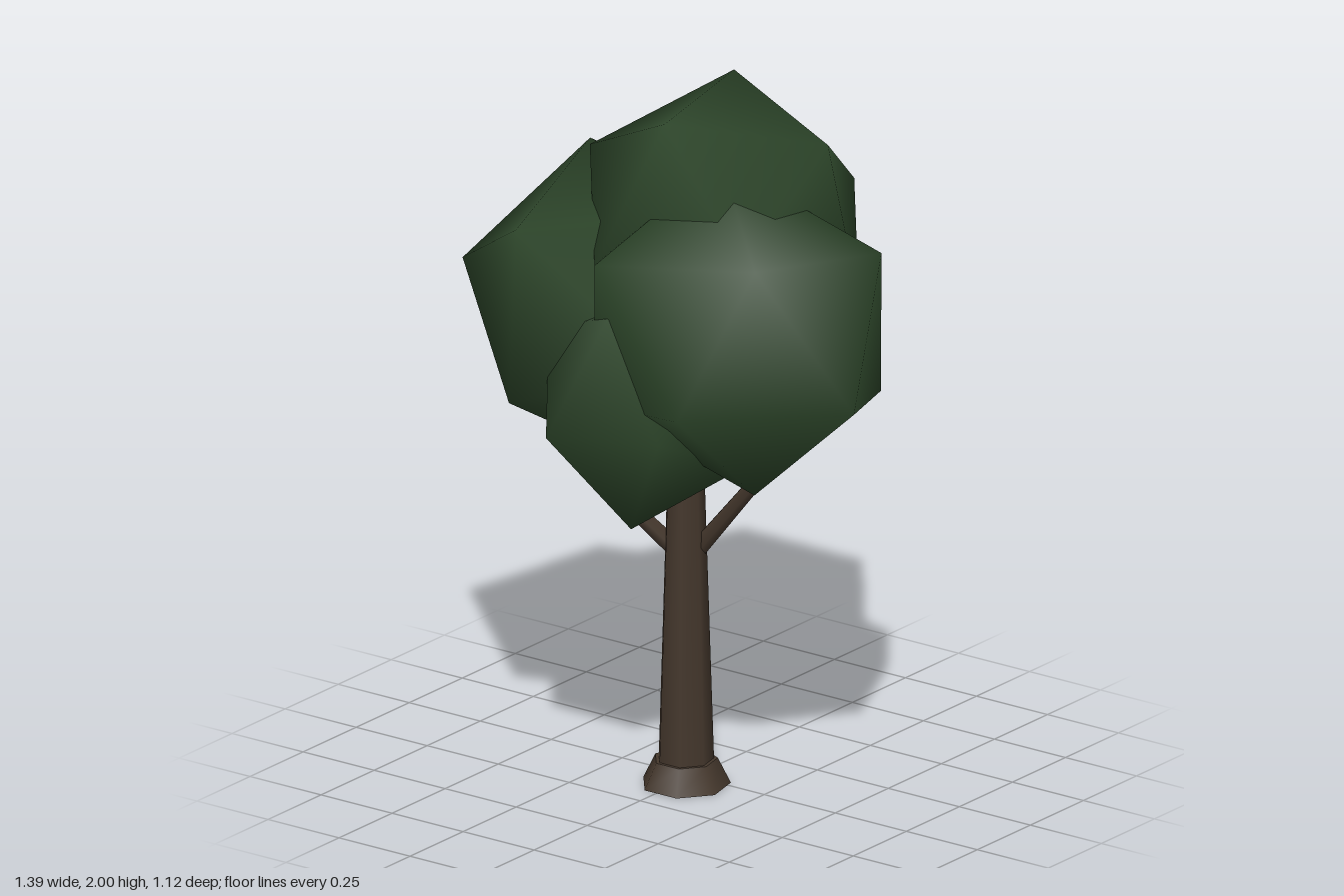
import * as THREE from 'three';
import { mergeVertices } from 'three/addons/utils/BufferGeometryUtils.js';

const bark = new THREE.MeshStandardMaterial({ color: 0x44372c });
const leaves = new THREE.MeshStandardMaterial({ color: 0x2b4328 });

const vec = (p) => new THREE.Vector3(...p);
const basis = (a, b, c) => new THREE.Matrix4().makeBasis(a, b, c);

// Low-poly leaf clump: an icosahedron stretched so that its first face
// lands on three given corners around a centre (corners anticlockwise from outside)
function leafClump(name, centre, ...corners) {
  const ico = new THREE.IcosahedronGeometry(1, 0);
  ico.deleteAttribute('normal');
  ico.deleteAttribute('uv');
  const pos = ico.attributes.position;
  const from = basis(...[0, 1, 2].map((i) => new THREE.Vector3().fromBufferAttribute(pos, i)));
  const c = vec(centre);
  const to = basis(...corners.map((p) => vec(p).sub(c)));
  // Shared corners give soft normals
  const geo = mergeVertices(ico);
  geo.applyMatrix4(to.multiply(from.invert()));
  geo.computeVertexNormals();
  const mesh = new THREE.Mesh(geo, leaves);
  mesh.name = name;
  mesh.position.copy(c);
  return mesh;
}

// Tapered limb between two points, with a corner at the back
function limb(name, start, end, r0, r1, sides) {
  const a = vec(start), b = vec(end);
  const dir = b.clone().sub(a);
  const geo = new THREE.CylinderGeometry(r1, r0, dir.length(), sides, 1, false, Math.PI);
  const mesh = new THREE.Mesh(geo, bark);
  mesh.name = name;
  mesh.position.copy(a).add(b).multiplyScalar(0.5);
  mesh.quaternion.setFromUnitVectors(new THREE.Vector3(0, 1, 0), dir.normalize());
  return mesh;
}

export function createModel() {
  const tree = new THREE.Group();
  tree.name = 'tree';

  // Trunk with flared foot and two branches
  const x = 0.015, z = 0.058;
  tree.add(
    limb('trunkFoot', [x, 0, z], [x, 0.075, z], 0.129, 0.092, 7),
    limb('trunk', [x, 0.02, z], [x, 0.98, z], 0.083, 0.053, 7),
    limb('leftBranch', [0.03, 0.69, 0.04], [0.305, 1.035, 0.005], 0.028, 0.019, 5),
    limb('rightBranch', [0, 0.7, 0.07], [-0.23, 0.95, 0.2], 0.028, 0.019, 5),
  );

  // Crown of four overlapping clumps
  tree.add(
    leafClump('topLeaves', [0.02, 1.635, -0.12],
      [-0.11, 2, -0.34], [0, 2, 0.135], [0.325, 1.91, -0.2]),
    leafClump('rightLeaves', [-0.17, 1.35, -0.01],
      [-0.7, 1.45, 0.15], [-0.34, 1.68, 0.38], [-0.46, 1.78, -0.13]),
    leafClump('leftLeaves', [0.235, 1.43, 0.105],
      [0.693, 1.29, 0.17], [0.442, 1.7, 0.3], [0.33, 1.29, 0.52]),
    leafClump('frontLeaves', [-0.015, 1.2, 0.2],
      [-0.1, 1.16, 0.56], [0.05, 0.86, 0.36], [0.225, 1.18, 0.467]),
  );
  return tree;
}
